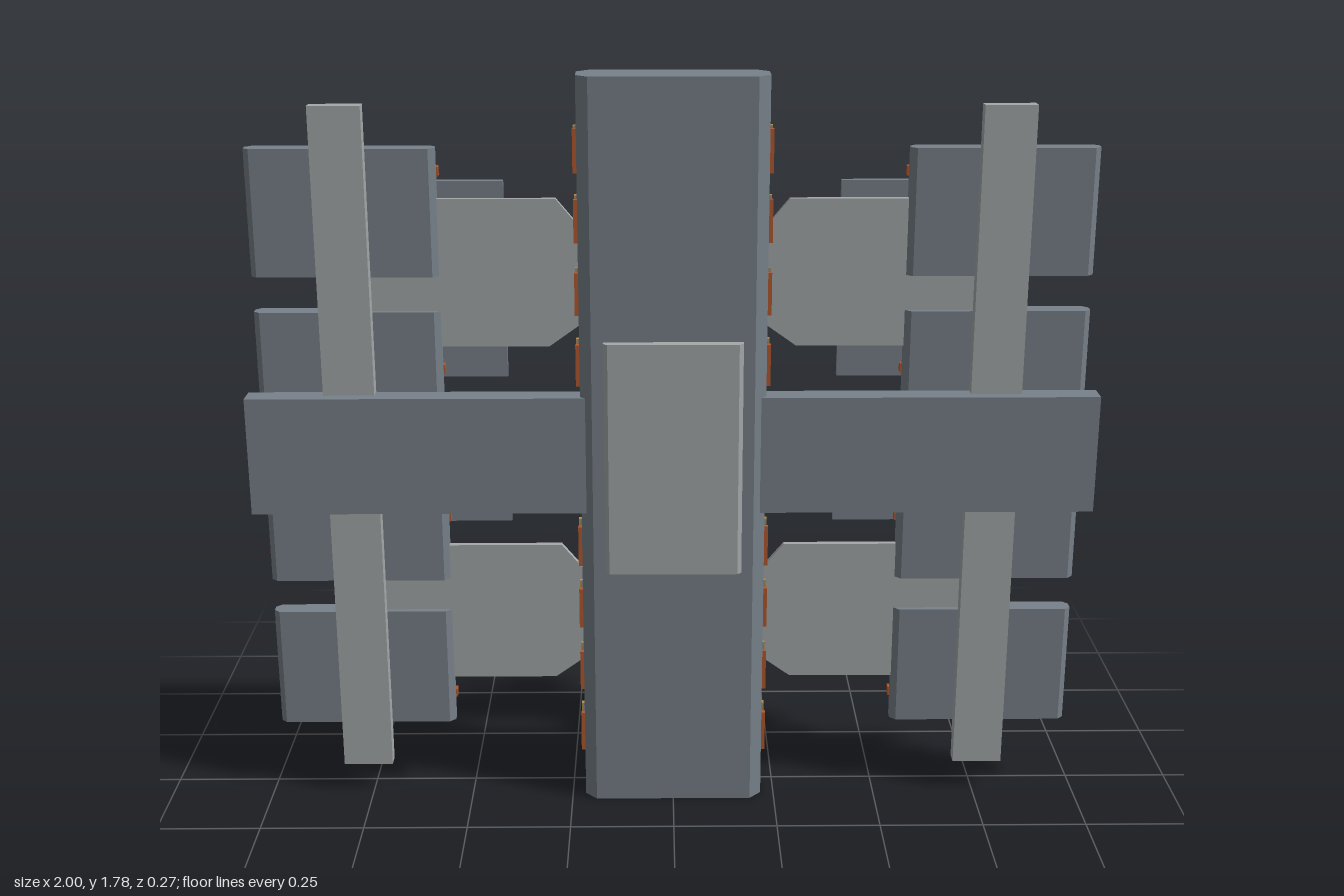
import * as THREE from 'three';

const mat = (name, color, flat = true) => new THREE.MeshStandardMaterial({ name, color });
const steel = mat('steel grey', 0x78818a);
const pale = mat('pale grey', 0xa5a9a9);
const shade = mat('dark grey', 0x565c64);
const orange = mat('orange', 0xb5592f);
const teal = mat('teal', 0x3a9db0);
const tan = mat('tan', 0xb0904f);

export function createModel() {
  const model = new THREE.Group();

  const add = (name, geo, material) => {
    const m = new THREE.Mesh(geo, material);
    m.name = name;
    model.add(m);
    return m;
  };
  // box from its limits on each axis
  const box = (name, material, [x0, x1], [y0, y1], [z0, z1]) => {
    const g = new THREE.BoxGeometry(Math.abs(x1 - x0), y1 - y0, z1 - z0);
    g.translate((x0 + x1) / 2, (y0 + y1) / 2, (z0 + z1) / 2);
    return add(name, g, material);
  };
  // upright prism with its four vertical edges chamfered
  const chamfered = (name, material, [xa, xb], [y0, y1], [z0, z1], cx, cz) => {
    const x0 = Math.min(xa, xb), x1 = Math.max(xa, xb);
    const pts = [
      [x0 + cx, z0], [x1 - cx, z0], [x1, z0 + cz], [x1, z1 - cz],
      [x1 - cx, z1], [x0 + cx, z1], [x0, z1 - cz], [x0, z0 + cz],
    ].map(([x, z]) => new THREE.Vector2(x, -z));
    const g = new THREE.ExtrudeGeometry(new THREE.Shape(pts), { depth: y1 - y0, bevelEnabled: false });
    g.rotateX(-Math.PI / 2).translate(0, y0, 0);
    return add(name, g, material);
  };
  // eight-sided ring of points with cut corners
  const octagon = (w, h, c, z) => [
    [w, h - c], [w - c, h], [-w + c, h], [-w, h - c],
    [-w, -h + c], [-w + c, -h], [w - c, -h], [w, -h + c],
  ].map(([x, y]) => [x, y, z]);
  // solid skinned over octagons listed from front to back
  const octagonStack = (rings) => {
    const pos = [];
    const tri = (a, b, c) => pos.push(...a, ...b, ...c);
    for (let r = 0; r + 1 < rings.length; r++) {
      for (let i = 0; i < 8; i++) {
        const j = (i + 1) % 8, a = rings[r], b = rings[r + 1];
        tri(a[i], b[i], b[j]);
        tri(a[i], b[j], a[j]);
      }
    }
    const first = rings[0], last = rings[rings.length - 1];
    for (let i = 1; i < 7; i++) {
      tri(first[0], first[i], first[i + 1]);
      tri(last[0], last[i + 1], last[i]);
    }
    const g = new THREE.BufferGeometry();
    g.setAttribute('position', new THREE.Float32BufferAttribute(pos, 3));
    g.computeVertexNormals();
    return g;
  };

  // central spine and its front cover
  chamfered('spine', steel, [-0.218, 0.218], [0, 1.78], [-0.012, 0.11], 0.028, 0.03);
  chamfered('frontCover', pale, [-0.162, 0.162], [0.61, 1.175], [0.1, 0.135], 0.01, 0.01);

  // rear vent panel with slots and perforation rows
  box('ventPanel', pale, [-0.155, 0.155], [0.7, 1.08], [-0.028, -0.005]);
  for (const i of [-1, 0, 1]) {
    const y = 0.89 + i * 0.085;
    box('ventSlot', shade, [-0.11, 0.11], [y - 0.016, y + 0.016], [-0.032, -0.026]);
  }
  for (const y of [0.75, 1.03]) {
    for (let i = -4; i <= 4; i++) {
      box('ventHole', shade, [i * 0.025 - 0.007, i * 0.025 + 0.007], [y - 0.004, y + 0.004], [-0.03, -0.026]);
    }
  }

  // rear pods with orange hatches
  for (const y of [0.337, 1.445]) {
    add('pod', octagonStack([
      octagon(0.19, 0.22, 0.07, -0.01),
      octagon(0.21, 0.24, 0.075, -0.02),
      octagon(0.21, 0.24, 0.075, -0.042),
      octagon(0.18, 0.18, 0.03, -0.062),
    ]), pale).position.y = y;
    box('hatchFrame', shade, [-0.167, 0.167], [y - 0.145, y + 0.145], [-0.065, -0.055]);
    box('hatch', orange, [-0.157, 0.157], [y - 0.135, y + 0.135], [-0.07, -0.06]);
  }

  for (const s of [1, -1]) {
    const X = (a, b) => [s * a, s * b];

    // side lamps along the spine
    for (const y of [0.17, 0.335, 0.5, 0.66, 1.11, 1.28, 1.45, 1.61]) {
      const h = [y - 0.05, y + 0.05];
      box('lampCore', shade, X(0.21, 0.222), h, [0.02, 0.07]);
      box('lampFront', orange, X(0.205, 0.227), h, [0.068, 0.08]);
      box('lampBack', tan, X(0.205, 0.227), h, [0.01, 0.024]);
    }

    // cross arm, upright rail and rear coupling
    box('crossArm', steel, X(0.19, 1), [0.75, 1.035], [0.034, 0.093]);
    box('rail', pale, X(0.7, 0.82), [0.075, 1.71], [0.029, 0.064]);
    box('coupling', orange, X(0.64, 0.88), [0.835, 0.945], [0.0, 0.036]);

    // bracket plates with a teal stripe
    for (const y of [0.465, 1.315]) {
      const pts = [[0.19, 0.115], [0.22, 0.115], [0.27, 0.175], [0.76, 0.175],
        [0.76, -0.175], [0.29, -0.175], [0.22, -0.125], [0.19, -0.125]];
      const shape = new THREE.Shape(pts.map(([x, dy]) => new THREE.Vector2(s * x, y + dy)));
      const g = new THREE.ExtrudeGeometry(shape, { depth: 0.015, bevelEnabled: false });
      add('bracket', g, pale);
      box('bracketStripe', teal, X(0.27, 0.62), [y - 0.03, y + 0.02], [-0.004, 0.004]);
    }

    // four panels with rods, hub, post and paddle
    for (const y of [0.323, 0.703, 1.077, 1.459]) {
      chamfered('panel', steel, X(0.543, 0.978), [y - 0.149, y + 0.149], [-0.019, 0.029], 0.014, 0.014);
      for (const d of [-0.09, 0, 0.09]) {
        box('rod', orange, X(0.54, 0.984), [y + d - 0.011, y + d + 0.011], [-0.032, -0.012]);
      }
      box('hubPlate', pale, X(0.64, 0.875), [y - 0.08, y + 0.08], [-0.061, -0.034]);
      box('hubBase', shade, X(0.69, 0.82), [y - 0.05, y + 0.05], [-0.036, -0.015]);
      box('post', pale, X(0.72, 0.79), [y - 0.032, y + 0.032], [-0.12, -0.06]);
      box('paddle', steel, X(0.4, 0.838), [y - 0.049, y + 0.049], [-0.136, -0.118]);
      box('paddleLight', teal, X(0.58, 0.63), [y - 0.022, y + 0.022], [-0.1375, -0.134]);
    }
  }
  return model;
}
